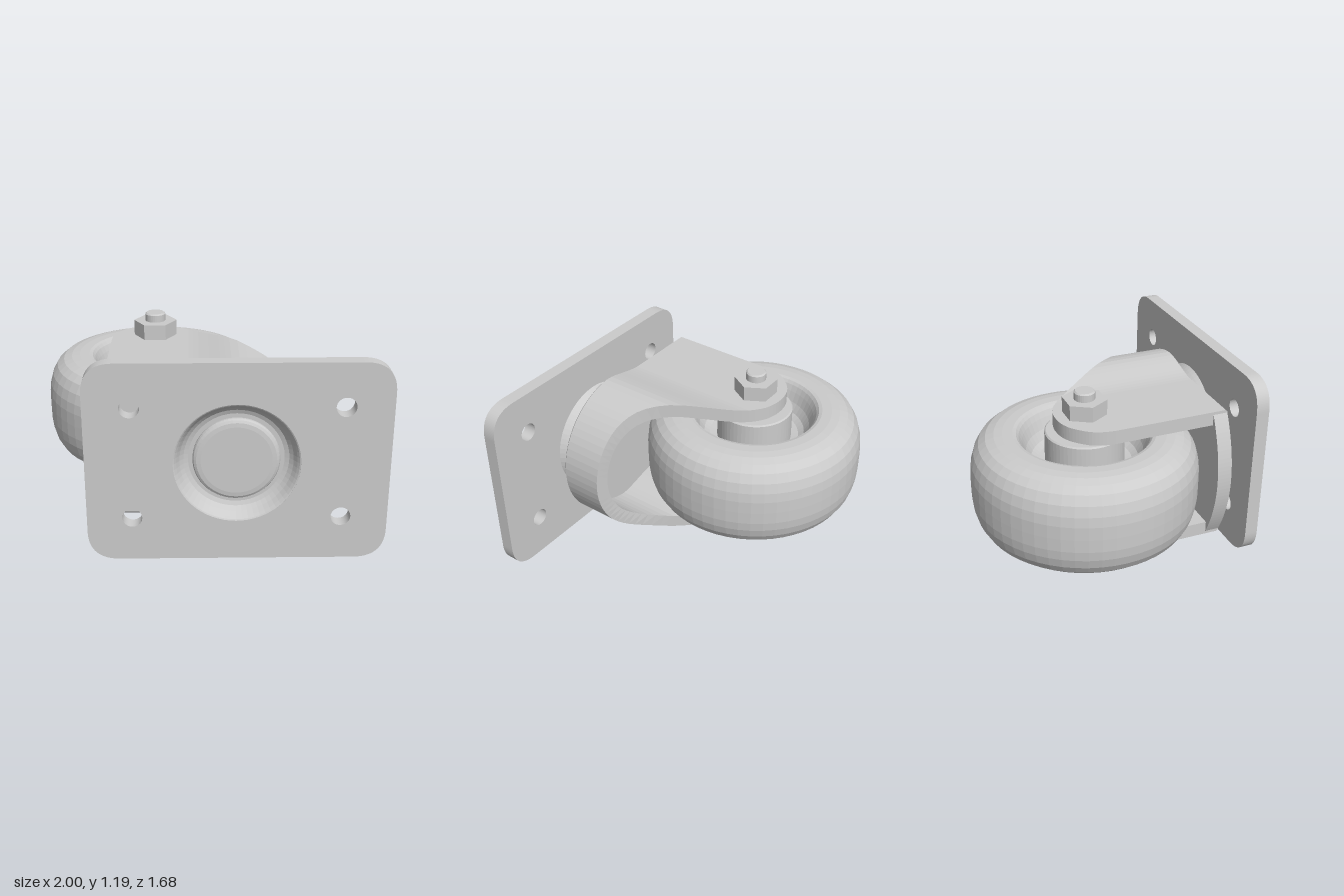
import * as THREE from 'three';

const MID = 0.595;                 // height of the symmetry plane
const SWIVEL_X = 0.15;             // swivel axis, along z
const FORK_X = 0.132;              // centre of the fork's round end
const FORK_END = -0.59;            // open end of the fork
const PINCH = 0.055;               // how far the arms step in towards the wheel
const AXLE = [-0.322, -0.165];     // axle x and z, along y
const material = new THREE.MeshStandardMaterial({ color: 0xcccccc, flatShading: true });

function part(name, geometry, x = 0, y = 0, z = 0) {
  const mesh = new THREE.Mesh(geometry, material);
  mesh.name = name;
  mesh.position.set(x, y, z);
  return mesh;
}

function lathe(points, segments = 64) {
  return new THREE.LatheGeometry(points.map(p => new THREE.Vector2(...p)), segments);
}

// Turned part on the swivel axis; points are [radius, z]
function swivelPart(name, points) {
  return part(name, lathe(points).rotateX(Math.PI / 2), SWIVEL_X, MID, 0);
}

function circle(x, y, r) {
  return new THREE.Path().absarc(x, y, r, 0, Math.PI * 2, true);
}

// Rounded mounting plate with four bolt holes and the opening for the dish
function mountingPlate() {
  const x0 = -0.69, x1 = 1, y0 = 0, y1 = 1.187, c = 0.18;
  const s = new THREE.Shape();
  s.moveTo(x0 + c, y0);
  s.lineTo(x1 - c, y0).quadraticCurveTo(x1, y0, x1, y0 + c);
  s.lineTo(x1, y1 - c).quadraticCurveTo(x1, y1, x1 - c, y1);
  s.lineTo(x0 + c, y1).quadraticCurveTo(x0, y1, x0, y1 - c);
  s.lineTo(x0, y0 + c).quadraticCurveTo(x0, y0, x0 + c, y0);
  for (const x of [-0.435, 0.737])
    for (const y of [0.265, 0.93]) s.holes.push(circle(x, y, 0.056));
  s.holes.push(circle(SWIVEL_X, MID, 0.354));
  const g = new THREE.ExtrudeGeometry(s, { depth: 0.082, bevelEnabled: false, curveSegments: 32 });
  return part('mountingPlate', g, 0, 0, 0.758);
}

// Side outline of the fork: z of the wall's edge at a given x
const outline = new THREE.SplineCurve([
  [-0.59, -0.08], [-0.58, -0.15], [-0.55, -0.22], [-0.48, -0.295], [-0.41, -0.333], [-0.325, -0.345],
  [-0.25, -0.335], [-0.18, -0.305], [-0.08, -0.215], [0.056, -0.04], [0.15, 0.085], [0.243, 0.2],
  [0.34, 0.28], [0.47, 0.335], [0.62, 0.36],
].map(p => new THREE.Vector2(...p))).getPoints(200);

function edgeZ(x) {
  const i = Math.max(1, outline.findIndex(p => p.x >= x));
  const a = outline[i - 1], b = outline[i];
  return THREE.MathUtils.lerp(a.y, b.y, THREE.MathUtils.clamp((x - a.x) / (b.x - a.x), 0, 1));
}

// Plan of the fork as [centre x, normal x, normal y, inset]: arm, half circle, arm
function forkStations() {
  const ARM = 36, ARC = 32, arm = [], arc = [];
  const inset = x => PINCH * (1 - THREE.MathUtils.smoothstep(x, -0.14, 0.2));
  for (let i = 0; i < ARM; i++) {
    const x = FORK_END + (FORK_X - FORK_END) * (1 - Math.cos((i / ARM) * Math.PI / 2));
    arm.push([x, 0, 1, inset(x)]);
  }
  for (let i = 0; i <= ARC; i++) {
    const a = Math.PI / 2 - (i / ARC) * Math.PI;
    arc.push([FORK_X, Math.cos(a), Math.sin(a), inset(FORK_X + 0.478 * Math.cos(a))]);
  }
  return [...arm, ...arc, ...arm.map(([x, nx, ny, d]) => [x, nx, -ny, d]).reverse()];
}

// U-shaped wall following the plan, its edge cut to the side outline
function forkWall() {
  const R = 0.478, T = 0.085, ROWS = 12, stations = forkStations();
  const pos = [], index = [], K = 2 * (ROWS + 1);
  for (const [cx, nx, ny, inset] of stations) {
    const add = (radius, z) => pos.push(cx + nx * (radius - inset), ny * (radius - inset), z);
    const face = (radius, k) => {
      if (k === 0) return add(radius === R ? R - 0.012 : radius, 0.622);
      add(radius, THREE.MathUtils.lerp(0.61, edgeZ(cx + nx * (radius - inset)), (k - 1) / (ROWS - 1)));
    };
    for (let k = 0; k <= ROWS; k++) face(R, k);
    for (let k = ROWS; k >= 0; k--) face(R - T, k);
  }
  const last = stations.length - 1;
  for (let i = 0; i < last; i++)
    for (let k = 0; k < K; k++) {
      const a = i * K + k, d = i * K + (k + 1) % K;
      index.push(a, a + K, d + K, a, d + K, d);
    }
  for (let k = 0; k < ROWS; k++) {   // close both ends
    const [a, b, c, d] = [k, k + 1, K - 2 - k, K - 1 - k];
    index.push(a, b, c, a, c, d);
    const e = last * K;
    index.push(e + a, e + c, e + b, e + a, e + d, e + c);
  }
  const g = new THREE.BufferGeometry();
  g.setAttribute('position', new THREE.Float32BufferAttribute(pos, 3));
  g.setIndex(index);
  g.computeVertexNormals();
  return part('forkWall', g, 0, MID, 0);
}

// Floor of the fork, with a bowed lip at its open end
function forkBase() {
  const r = 0.46;
  const s = new THREE.Shape(forkStations().reverse().map(
    ([x, nx, ny, inset]) => new THREE.Vector2(x + nx * (r - inset), ny * (r - inset))));
  s.quadraticCurveTo(-0.8, 0, FORK_END, PINCH - r);
  const g = new THREE.ExtrudeGeometry(s, { depth: 0.09, bevelEnabled: false, curveSegments: 32 });
  return part('forkBase', g, 0, MID, 0.531);
}

// Wheel with rounded tread, bowl-shaped recesses and a raised hub; half profile mirrored
function wheel() {
  const half = [
    [0.677, 0], [0.676, 0.08], [0.669, 0.14], [0.652, 0.2], [0.622, 0.252], [0.58, 0.287], [0.53, 0.304],
    [0.48, 0.31], [0.42, 0.31], [0.4, 0.304], [0.385, 0.286], [0.368, 0.25], [0.345, 0.19], [0.315, 0.14],
    [0.28, 0.115], [0.235, 0.108], [0.235, 0.312], [0.227, 0.32], [0, 0.32],
  ];
  const lower = half.slice(1).reverse().map(([r, y]) => [r, -y]);
  return part('wheel', lathe([...lower, ...half], 56), AXLE[0], MID, AXLE[1]);
}

// Bolt through the wheel with a washer and hex nut on either side
function axle() {
  const group = new THREE.Group();
  group.name = 'axle';
  group.position.set(AXLE[0], MID, AXLE[1]);
  group.add(part('bolt', lathe([
    [0, -0.568], [0.054, -0.568], [0.062, -0.56], [0.062, 0.56], [0.054, 0.568], [0, 0.568],
  ], 32)));
  for (const side of [-1, 1]) {
    const washer = new THREE.CylinderGeometry(0.072, 0.072, 0.04, 32);
    group.add(part('washer', washer, 0, side * 0.33, 0));
    const nut = new THREE.CylinderGeometry(0.132, 0.132, 0.1, 6, 1, false, Math.PI / 6);
    group.add(part('nut', nut, 0, side * 0.467, 0));
  }
  return group;
}

export function createModel() {
  const model = new THREE.Group();
  model.name = 'casterWheel';
  model.add(
    mountingPlate(),
    // Pressed dish in the plate, hollow from the front
    swivelPart('plateDish', [
      [0, 0.685], [0.26, 0.685], [0.288, 0.69], [0.312, 0.705], [0.335, 0.735], [0.35, 0.757], [0.355, 0.765],
      [0.355, 0.8395], [0.347, 0.835], [0.335, 0.82], [0.317, 0.79], [0.295, 0.767], [0.27, 0.757], [0, 0.757],
    ]),
    // Riveted pin with a low rounded head
    swivelPart('kingpin', [
      [0, 0.6], [0.24, 0.6], [0.245, 0.75], [0.245, 0.77], [0.239, 0.782], [0.225, 0.79], [0.2, 0.793], [0, 0.793],
    ]),
    // Raised bearing seat between fork and plate
    swivelPart('bearingSeat', [
      [0, 0.6], [0.342, 0.6], [0.342, 0.635], [0.352, 0.64], [0.352, 0.66], [0.346, 0.671], [0.33, 0.677], [0, 0.677],
    ]),
    forkBase(),
    forkWall(),
    wheel(),
    axle(),
  );
  return model;
}
